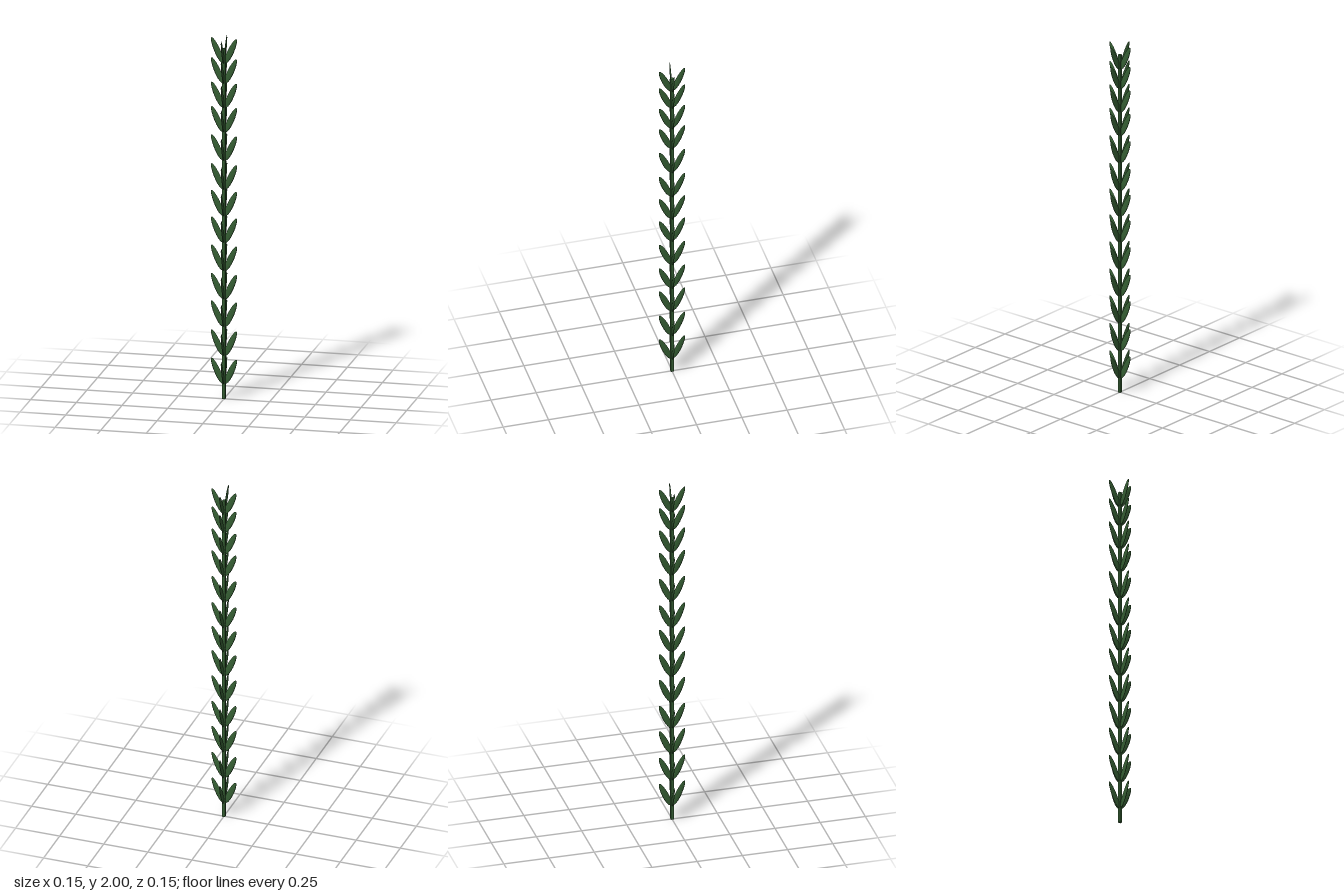
import * as THREE from 'three';

const leafMaterial = new THREE.MeshStandardMaterial({ color: 0x355e33 });
const stemMaterial = new THREE.MeshStandardMaterial({ color: 0x355e33 });

// Height of the lowest point of every whorl of leaves
const whorlHeights = [0.083, 0.24, 0.4, 0.553, 0.71, 0.865, 1.013, 1.16, 1.32, 1.477, 1.612, 1.747, 1.858];

// Flat lens-shaped blade, slightly fuller toward the base
function makeLeafGeometry() {
  const geometry = new THREE.SphereGeometry(1, 10, 10);
  const p = geometry.attributes.position;
  for (let i = 0; i < p.count; i++) {
    const y = p.getY(i);
    p.setXYZ(i, p.getX(i) * 0.0175 * (1 - 0.12 * y), y * 0.076, p.getZ(i) * 0.0038);
  }
  geometry.computeVertexNormals();
  geometry.rotateZ(-0.43);
  geometry.translate(0.0385, 0.07, 0);
  return geometry;
}

export function createModel() {
  const model = new THREE.Group();
  model.name = 'leafyStalk';

  // Square stem
  const stem = new THREE.Mesh(new THREE.BoxGeometry(0.016, 1.94, 0.016), stemMaterial);
  stem.name = 'stem';
  stem.position.y = 0.97;
  model.add(stem);

  // Four upright leaves at each whorl; the side pair is turned slightly
  const leafGeometry = makeLeafGeometry();
  const angles = [-0.08, Math.PI / 2, Math.PI - 0.08, -Math.PI / 2];
  for (const y of whorlHeights) {
    const whorl = new THREE.Group();
    whorl.name = 'leafWhorl';
    whorl.position.y = y;
    for (const angle of angles) {
      const leaf = new THREE.Mesh(leafGeometry, leafMaterial);
      leaf.name = 'leaf';
      leaf.rotation.y = angle;
      whorl.add(leaf);
    }
    model.add(whorl);
  }
  return model;
}
